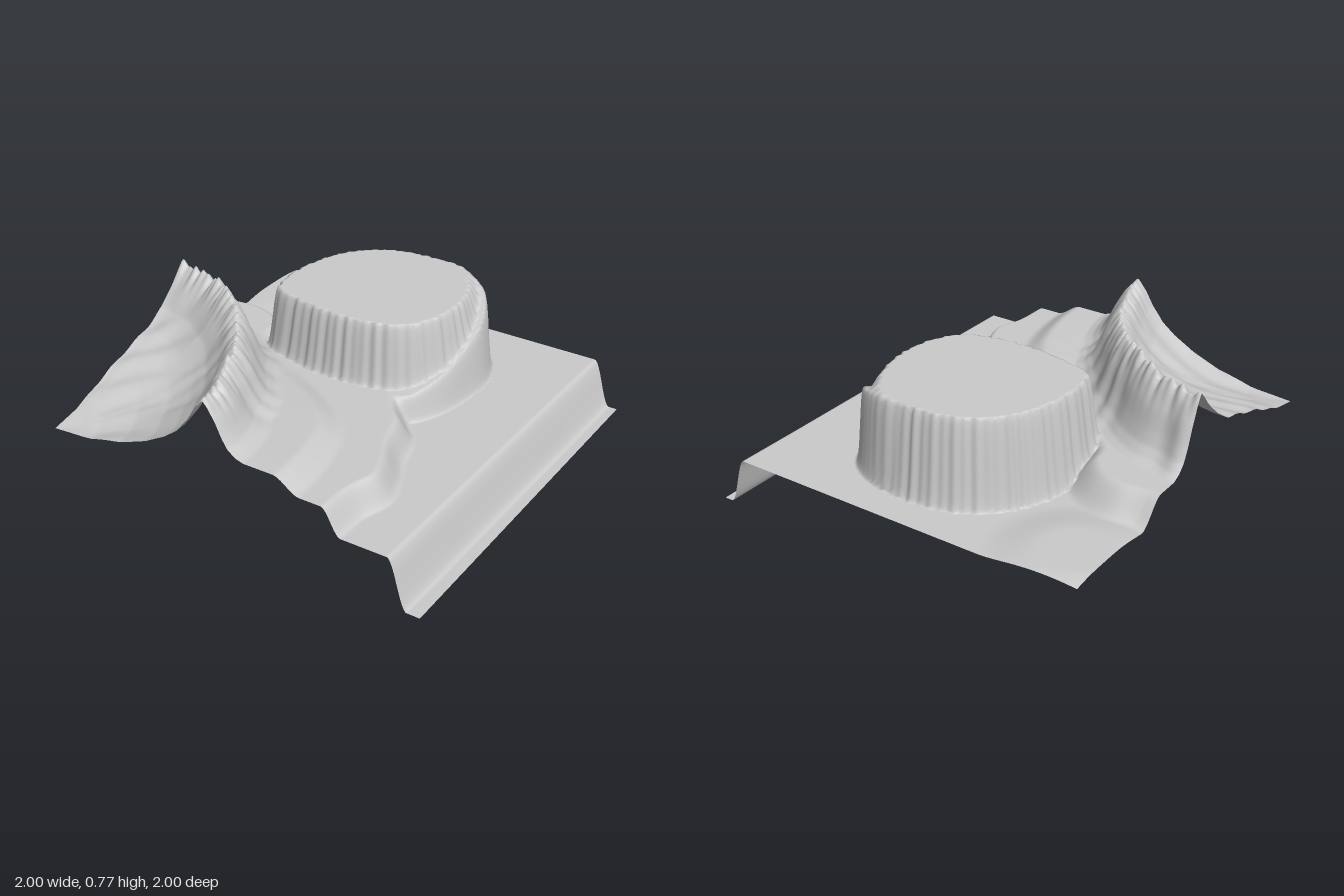
import * as THREE from 'three';

const { lerp, smoothstep } = THREE.MathUtils;

// Piecewise linear lookup in [[x, y], ...]
function curve(points, x) {
  if (x <= points[0][0]) return points[0][1];
  for (let i = 1; i < points.length; i++) {
    const [x0, y0] = points[i - 1], [x1, y1] = points[i];
    if (x <= x1) return lerp(y0, y1, (x - x0) / (x1 - x0));
  }
  return points[points.length - 1][1];
}

// Smooth closed outline from a few (x, z) points
function outline(points) {
  const c = new THREE.CatmullRomCurve3(points.map(([x, z]) => new THREE.Vector3(x, 0, z)), true);
  return c.getPoints(points.length * 5).map(p => [p.x, p.z]);
}

// Signed distance to an outline, positive inside
function inside(poly, x, z) {
  let best = Infinity, inn = false;
  for (let i = 0, j = poly.length - 1; i < poly.length; j = i++) {
    const [ax, az] = poly[j], [bx, bz] = poly[i];
    const dx = bx - ax, dz = bz - az;
    const t = Math.min(1, Math.max(0, ((x - ax) * dx + (z - az) * dz) / (dx * dx + dz * dz || 1)));
    best = Math.min(best, Math.hypot(x - ax - t * dx, z - az - t * dz));
    if ((az > z) !== (bz > z) && x < ax + (z - az) / dz * dx) inn = !inn;
  }
  return inn ? best : -best;
}

// Flat-topped mesa, the ramp on its side, and the low terrace in front
const mesa = outline([[-0.51, -0.2], [-0.48, -0.45], [-0.39, -0.63], [-0.22, -0.76], [0, -0.8],
  [0.2, -0.77], [0.33, -0.63], [0.4, -0.4], [0.37, -0.17], [0.27, -0.03], [0.1, 0.03],
  [-0.1, 0.04], [-0.3, 0.01], [-0.46, -0.04]]);
const ramp = outline([[0, -0.5], [0.1, -0.79], [0.22, -0.79], [0.39, -0.69], [0.475, -0.5], [0.475, -0.3],
  [0.43, -0.08], [0.33, 0.06], [0.1, 0]]);
const terrace = outline([[-1.5, -0.4], [-0.95, -0.4], [-0.8, -0.41], [-0.65, -0.36], [-0.55, -0.26], [-0.5, -0.12],
  [-0.2, -0.1], [0.2, -0.05], [0.31, 0.03], [0.37, 0.12], [0.44, 0.2], [0.5, 0.39], [0.57, 0.54], [0.605, 0.67],
  [0.565, 0.82], [0.555, 1.02], [0.5, 1.5], [-1.5, 1.5]]);

// Crater, centred on the front corner at x = -1
const rimRadius = [[0, 1], [0.44, 0.93], [0.8, 0.88], [1.2, 0.86], [1.57, 0.9]];
const rimHeight = [[0, 0.72], [0.25, 0.73], [0.5, 0.76], [0.8, 0.73], [1.1, 0.72], [1.57, 0.7]];
const bowlBack = [[0, 0.255], [0.15, 0.285], [0.3, 0.345], [0.5, 0.42], [0.7, 0.48], [0.82, 0.535], [0.9, 0.61], [1, 0.7]];
const bowlSide = [[0, 0.255], [0.25, 0.272], [0.45, 0.312], [0.62, 0.37], [0.75, 0.435], [0.83, 0.49], [0.9, 0.57], [0.95, 0.65], [1, 0.7]];
const outerSlope = [[0, 1], [0.03, 0.87], [0.07, 0.62], [0.1, 0.36], [0.13, 0.17], [0.17, 0.05], [0.21, 0]];

function craterHeight(x, z, ground) {
  const dx = x + 1, dz = 1 - z;
  const r = Math.hypot(dx, dz), a = Math.atan2(dx, dz);
  const rim = curve(rimRadius, a) + 0.004 * Math.sin(a * 23 + 2 * Math.sin(a * 7));
  // uneven crest, fading out down both slopes
  const jag = 0.011 * Math.sin(a * 61 + 2 * Math.sin(a * 9)) + 0.009 * Math.sin(a * 113 + 1) + 0.006 * Math.sin(a * 37 + 2);
  const top = curve(rimHeight, a) + jag * Math.exp(-(((r - rim) / 0.06) ** 2));
  // low apron outside the rim
  const edge = lerp(1.16, 1.36, smoothstep(a, 0.65, 1.25));
  const apron = curve([[0.35, 0], [0.8, 0.035], [1.1, 0.055], [1.5, 0.07]], a);
  ground += apron * (1 - smoothstep(r, edge - 0.1, edge + 0.04));
  if (r > rim) {
    const gully = 0.006 * Math.sin(a * 29 + r * 8 + 2 * Math.sin(a * 11)) * smoothstep(r - rim, 0, 0.06);
    return ground + (top - ground) * curve(outerSlope, r - rim + gully);
  }
  const t = r / rim;
  const ripple = 0.006 * Math.sin(9 * x + 31 * z + 2 * Math.sin(7 * x)) * smoothstep(t, 0.1, 0.4) * (1 - smoothstep(t, 0.85, 1));
  const floor = lerp(curve(bowlBack, t), curve(bowlSide, t), smoothstep(a, 0.1, 1.3));
  return floor + (top - 0.7) * smoothstep(t, 0.6, 1) + ripple;
}

function height(x, z) {
  // plain with the long drop along one side
  const drop = 0.9 - 0.01 * z;
  if (x > 0.8) return 0.25 * (1 - smoothstep(x, drop - 0.055, drop + 0.045));
  // slight swell in the back corner
  const swell = 0.035 * (1 - smoothstep(Math.hypot(x + 0.85, z + 0.78), 0.15, 0.42));
  const soft = lerp(0.08, 0.05, smoothstep(x, -0.6, -0.3));
  const step = smoothstep(inside(terrace, x, z), -soft, soft);
  let y = craterHeight(x, z, 0.25 + swell + 0.13 * step);
  // ramp climbing towards the back
  const rampTop = curve([[-0.75, 0.67], [-0.68, 0.65], [-0.55, 0.58], [-0.35, 0.5], [-0.2, 0.44], [0, 0.38], [0.1, 0.375]], z);
  y = Math.max(y, lerp(y, rampTop, smoothstep(inside(ramp, x, z), -0.025, 0.025)));
  // gently fluted mesa wall
  const a = Math.atan2(z + 0.38, x + 0.04);
  const flute = 0.003 * Math.sin(a * 31 + 2 * Math.sin(a * 5)) + 0.003 * Math.sin(a * 53);
  const wall = smoothstep(inside(mesa, x, z) + flute, -0.038, 0.025);
  return Math.max(y, lerp(y, 0.7, wall));
}

export function createModel() {
  const group = new THREE.Group();
  group.name = 'terrainModel';
  const geo = new THREE.PlaneGeometry(2, 2, 230, 230).rotateX(-Math.PI / 2);
  const pos = geo.attributes.position;
  for (let i = 0; i < pos.count; i++) pos.setY(i, height(pos.getX(i), pos.getZ(i)));
  geo.computeVertexNormals();
  const terrain = new THREE.Mesh(geo, new THREE.MeshStandardMaterial({ color: 0xcccccc, side: THREE.DoubleSide }));
  terrain.name = 'terrain';
  group.add(terrain);
  return group;
}
